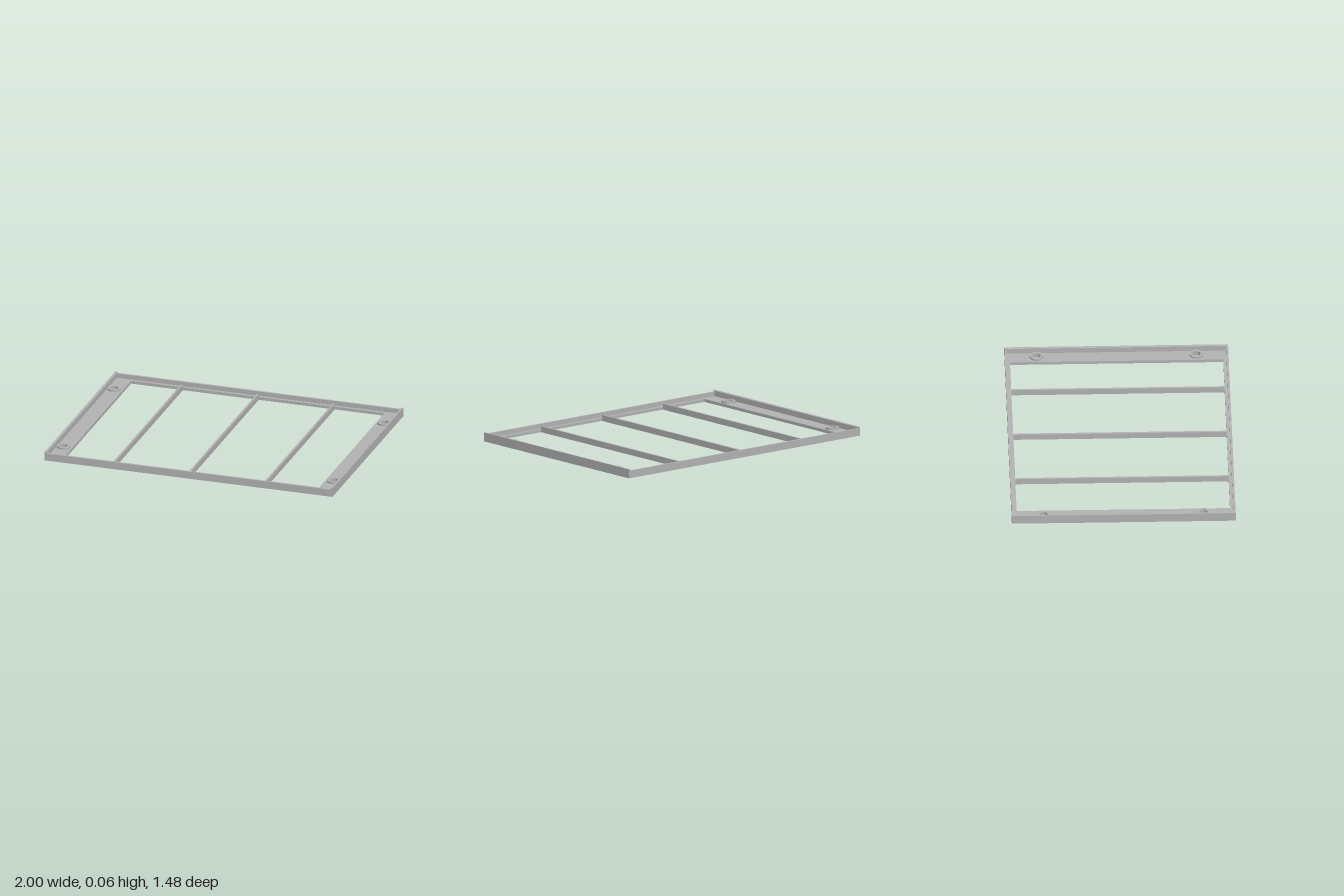
import * as THREE from 'three';

export function createModel() {
  const group = new THREE.Group();
  const grey = new THREE.MeshStandardMaterial({ color: 0xb2b2b2 });
  grey.name = 'plain grey';

  const W = 1, D = 0.738;          // outer half sizes
  const IW = 0.88, ID = 0.703;     // half sizes of the opening
  const base = 0.02, wallTop = 0.05, lipTop = 0.06, t = 0.014;
  const holeX = 0.938, holeZ = 0.527, holeR = 0.027, bossR = 0.045;

  const add = (name, geometry, x = 0, y = 0, z = 0) => {
    const mesh = new THREE.Mesh(geometry, grey);
    mesh.name = name;
    mesh.position.set(x, y, z);
    group.add(mesh);
  };
  const rect = (path, w, d) => path.moveTo(-w, -d).lineTo(w, -d).lineTo(w, d).lineTo(-w, d).closePath();
  const circle = (path, x, y, r) => path.absarc(x, y, r, 0, Math.PI * 2);
  const extrudeUp = (shape, height) =>
    new THREE.ExtrudeGeometry(shape, { depth: height, bevelEnabled: false, curveSegments: 16 }).rotateX(-Math.PI / 2);

  // Flat base with a large opening and four screw holes
  const plate = rect(new THREE.Shape(), W, D);
  plate.holes.push(rect(new THREE.Path(), IW, ID));
  for (const sx of [-1, 1]) for (const sz of [-1, 1]) {
    plate.holes.push(circle(new THREE.Path(), sx * holeX, sz * holeZ, holeR));
  }
  add('basePlate', extrudeUp(plate, base));

  // Upright rim around the plate
  const rim = rect(new THREE.Shape(), W, D);
  rim.holes.push(rect(new THREE.Path(), W - t, D - t));
  add('rim', extrudeUp(rim, wallTop - base), 0, base);

  for (const s of [-1, 1]) {
    // Raised lip on each side, rounded off towards the inside
    const lip = new THREE.Shape();
    lip.moveTo(0, 0).lineTo(t, 0).lineTo(t, 0.006).lineTo(t * 0.75, lipTop - wallTop).lineTo(0, lipTop - wallTop).closePath();
    const lipGeometry = new THREE.ExtrudeGeometry(lip, { depth: 2 * D, bevelEnabled: false });
    lipGeometry.translate(-W, wallTop, -D);
    if (s > 0) lipGeometry.rotateY(Math.PI);
    add(s < 0 ? 'rightLip' : 'leftLip', lipGeometry);

    // Raised rings around the screw holes
    for (const sz of [-1, 1]) {
      const ring = circle(new THREE.Shape(), 0, 0, bossR);
      ring.holes.push(circle(new THREE.Path(), 0, 0, holeR));
      add('screwBoss', extrudeUp(ring, 0.012), s * holeX, base, sz * holeZ);
    }
  }

  // Three cross bars from front to back
  for (const x of [-0.527, 0, 0.527]) {
    add('crossBar', new THREE.BoxGeometry(0.014, 0.04, 2 * ID), x, 0.02, 0);
  }
  return group;
}
